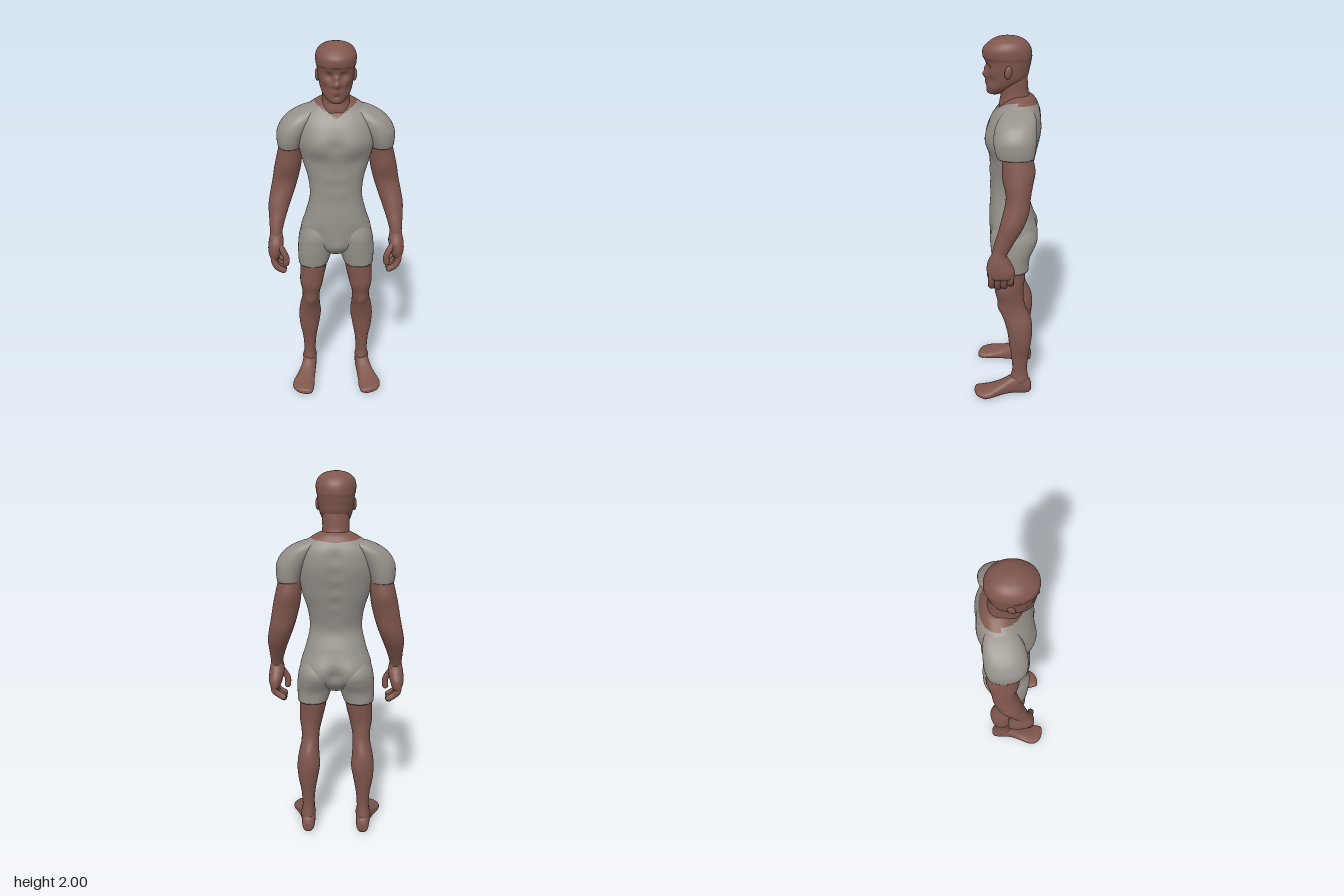
import * as THREE from 'three';

const skin = new THREE.MeshStandardMaterial({ color: 0x7f564d });
skin.name = 'brown skin';
const cloth = new THREE.MeshStandardMaterial({ color: 0x96918a });
cloth.name = 'grey cloth';

const catmull = (a, b, c, d, t) =>
  0.5 * (2 * b + (c - a) * t + (2 * a - 5 * b + 4 * c - d) * t * t + (3 * b - a - 3 * c + d) * t * t * t);

// Closed body from rounded cross-sections [position, xMin, xMax, bMin, bMax], ascending along
// y (b is z) or z (b is y). Bulges [x, y, z, radius, amount] push the surface along its normals.
function loft(sections, { side = 1, axis = 'y', n = 2.3, bulges = [], steps = 8, seg = 48 } = {}) {
  const S = sections.map(([p, x0, x1, b0, b1]) => (side < 0 ? [p, -x1, -x0, b0, b1] : [p, x0, x1, b0, b1]));
  const at = (i) => S[Math.max(0, Math.min(S.length - 1, i))];
  const rows = [];
  for (let i = 0; i < S.length - 1; i++)
    for (let k = 0; k < steps; k++)
      rows.push(S[i].map((_, c) => catmull(at(i - 1)[c], at(i)[c], at(i + 1)[c], at(i + 2)[c], k / steps)));
  rows.push(S[S.length - 1]);
  const pos = [], idx = [];
  const put = (p, x, b) => (axis === 'y' ? pos.push(x, p, b) : pos.push(x, b, p));
  const tri = (a, b, c) => (axis === 'y' ? idx.push(a, b, c) : idx.push(a, c, b));
  const round = (v) => Math.sign(v) * Math.abs(v) ** (2 / n);
  for (const [p, x0, x1, b0, b1] of rows)
    for (let j = 0; j < seg; j++) {
      const a = (j / seg) * Math.PI * 2;
      put(p, (x0 + x1) / 2 + ((x1 - x0) / 2) * round(Math.cos(a)), (b0 + b1) / 2 + ((b1 - b0) / 2) * round(Math.sin(a)));
    }
  const last = rows.length - 1, base = rows.length * seg;
  for (const r of [rows[0], rows[last]]) put(r[0], (r[1] + r[2]) / 2, (r[3] + r[4]) / 2);
  for (let j = 0; j < seg; j++) {
    const k = (j + 1) % seg;
    tri(base, j, k);
    for (let i = 0; i < last; i++) {
      const a = i * seg + j, b = i * seg + k;
      tri(a, a + seg, b);
      tri(b, a + seg, b + seg);
    }
    tri(base + 1, last * seg + k, last * seg + j);
  }
  const g = new THREE.BufferGeometry();
  g.setAttribute('position', new THREE.Float32BufferAttribute(pos, 3));
  g.setIndex(idx);
  g.computeVertexNormals();
  const P = g.attributes.position, N = g.attributes.normal;
  const v = new THREE.Vector3(), nn = new THREE.Vector3(), q = new THREE.Vector3();
  for (let i = 0; i < P.count; i++) {
    v.fromBufferAttribute(P, i);
    nn.fromBufferAttribute(N, i);
    let push = 0;
    for (const [x, y, z, r, amt] of bulges) push += amt * Math.exp(-v.distanceToSquared(q.set(x * side, y, z)) / (r * r));
    v.addScaledVector(nn, push);
    P.setXYZ(i, v.x, v.y, v.z);
  }
  g.computeVertexNormals();
  return g;
}

// Sort triangles into two material groups by a rule on their centres
function paint(g, rule) {
  const lists = [[], []], P = g.attributes.position, I = g.index.array;
  for (let i = 0; i < I.length; i += 3) {
    const t = [I[i], I[i + 1], I[i + 2]];
    const mid = (f) => (P[f](t[0]) + P[f](t[1]) + P[f](t[2])) / 3;
    lists[rule(mid('getX'), mid('getY'), mid('getZ')) ? 1 : 0].push(...t);
  }
  g.setIndex([...lists[0], ...lists[1]]);
  g.addGroup(0, lists[0].length, 0);
  g.addGroup(lists[0].length, lists[1].length, 1);
  return g;
}

const both = (list) => list.flatMap(([x, ...r]) => [[x, ...r], [-x, ...r]]);

export function createModel() {
  const model = new THREE.Group();
  model.name = 'standingMan';
  const add = (name, geo, mat = skin, parent = model) => {
    const m = new THREE.Mesh(geo, mat);
    m.name = name;
    parent.add(m);
    return m;
  };

  // Torso in a shirt, with an open neckline showing skin
  const spine = [1.2, 1.28, 1.36, 1.44, 1.52, 1.6].map((y) => [0, y, -0.15, 0.035, -0.01]);
  const torso = loft([
    [0.86, -0.06, 0.06, -0.08, 0.03], [0.9, -0.14, 0.14, -0.125, 0.065], [0.95, -0.185, 0.185, -0.152, 0.082],
    [1.01, -0.188, 0.188, -0.155, 0.09], [1.1, -0.16, 0.16, -0.135, 0.09], [1.2, -0.138, 0.138, -0.105, 0.083],
    [1.3, -0.146, 0.146, -0.125, 0.083], [1.4, -0.175, 0.175, -0.15, 0.088], [1.5, -0.198, 0.198, -0.165, 0.1],
    [1.58, -0.2, 0.2, -0.17, 0.085], [1.63, -0.185, 0.185, -0.168, 0.058], [1.67, -0.145, 0.145, -0.155, 0.025],
    [1.7, -0.1, 0.1, -0.138, 0], [1.715, -0.07, 0.07, -0.12, -0.02],
  ], {
    seg: 96, steps: 10,
    bulges: [...spine, ...both([
      [0.085, 1.5, 0.1, 0.07, 0.013], [0.08, 0.985, -0.15, 0.065, 0.018], [0.08, 1.55, -0.17, 0.08, 0.01],
      [0.035, 1.32, 0.085, 0.03, 0.004], [0.035, 1.24, 0.085, 0.03, 0.004], [0.1, 1.41, 0.08, 0.05, -0.006],
      [0.1, 1.0, 0.08, 0.04, -0.006],
    ]), [0, 1.5, 0.1, 0.03, -0.008], [0, 0.97, -0.155, 0.035, -0.02], [0, 0.92, 0.08, 0.04, 0.012]],
  });
  paint(torso, (x, y, z) => y > (z > -0.06 ? 1.632 + 0.58 * Math.abs(x) : 1.672 + 0.1 * Math.abs(x)));
  add('torso', torso, [cloth, skin]);

  // Neck
  add('neck', loft([
    [1.6, -0.08, 0.08, -0.13, 0.03], [1.67, -0.078, 0.078, -0.135, 0.035], [1.72, -0.068, 0.068, -0.112, 0.03],
    [1.78, -0.068, 0.068, -0.105, 0.04], [1.83, -0.065, 0.065, -0.1, 0.04],
  ], { bulges: both([[0.03, 1.66, 0.04, 0.02, 0.006]]) }));

  // Head with a fringe of hair over the brow
  const head = new THREE.Group();
  head.name = 'head';
  model.add(head);
  add('skull', loft([
    [1.718, -0.025, 0.025, 0.035, 0.08], [1.728, -0.042, 0.042, 0.01, 0.093], [1.76, -0.068, 0.068, -0.05, 0.098],
    [1.8, -0.082, 0.082, -0.1, 0.1], [1.85, -0.09, 0.09, -0.115, 0.098], [1.885, -0.094, 0.094, -0.122, 0.104],
    [1.905, -0.099, 0.099, -0.125, 0.116], [1.94, -0.099, 0.099, -0.12, 0.114], [1.97, -0.085, 0.085, -0.1, 0.085],
    [1.99, -0.055, 0.055, -0.066, 0.05], [2.0, -0.012, 0.012, -0.02, 0.01],
  ], {
    seg: 96, n: 2.15,
    bulges: [[0, 1.815, 0.102, 0.017, 0.02], [0, 1.845, 0.1, 0.013, 0.012], [0, 1.776, 0.1, 0.018, 0.007],
      [0, 1.735, 0.09, 0.02, 0.005], [0, 1.757, 0.098, 0.009, -0.006],
      ...both([[0.036, 1.855, 0.09, 0.02, -0.012], [0.035, 1.88, 0.098, 0.014, 0.006],
        [0.06, 1.79, 0.07, 0.028, -0.007], [0.06, 1.83, 0.075, 0.02, 0.004], [0.022, 1.795, 0.1, 0.01, -0.004]])],
  }), skin, head);

  for (const side of [1, -1]) {
    const s = side > 0 ? 'left' : 'right';
    const arm = new THREE.Group(), leg = new THREE.Group();
    arm.name = s + 'Arm';
    leg.name = s + 'Leg';
    model.add(arm, leg);

    // Ear
    const ear = add(s + 'Ear', new THREE.SphereGeometry(1, 16, 12), skin, head);
    ear.scale.set(0.011, 0.032, 0.019);
    ear.position.set(0.091 * side, 1.84, -0.012);
    ear.rotation.set(-0.2, 0.3 * side, 0);

    // Sleeve over the shoulder
    add(s + 'Sleeve', loft([
      [1.463, 0.178, 0.298, -0.142, 0.038], [1.5, 0.165, 0.303, -0.148, 0.05], [1.55, 0.14, 0.3, -0.152, 0.056],
      [1.6, 0.11, 0.273, -0.152, 0.048], [1.635, 0.09, 0.232, -0.148, 0.03], [1.66, 0.08, 0.18, -0.135, 0.005],
      [1.675, 0.08, 0.13, -0.11, -0.03],
    ], { side, n: 2.2 }), cloth, arm);

    // Bare arm
    add(s + 'BareArm', loft([
      [0.96, 0.29, 0.352, -0.005, 0.065], [1.0, 0.288, 0.354, -0.022, 0.06], [1.06, 0.272, 0.357, -0.055, 0.045],
      [1.13, 0.248, 0.358, -0.095, 0.022], [1.2, 0.222, 0.348, -0.12, 0.005], [1.27, 0.2, 0.334, -0.128, -0.005],
      [1.34, 0.183, 0.322, -0.137, 0.005], [1.41, 0.175, 0.306, -0.142, 0.012], [1.5, 0.175, 0.285, -0.13, 0.02],
    ], {
      side, n: 2.1,
      bulges: [[0.25, 1.37, 0.01, 0.05, 0.006], [0.25, 1.39, -0.14, 0.05, 0.006], [0.33, 1.16, 0, 0.05, 0.005]],
    }), skin, arm);

    // Hand: palm, curled fingers and thumb
    add(s + 'Palm', loft([
      [0.848, 0.308, 0.354, -0.045, 0.07], [0.865, 0.3, 0.364, -0.052, 0.082], [0.9, 0.29, 0.368, -0.05, 0.09],
      [0.94, 0.283, 0.364, -0.03, 0.085], [0.98, 0.288, 0.356, -0.01, 0.066], [1.02, 0.295, 0.35, -0.02, 0.05],
    ], { side }), skin, arm);
    const finger = (name, pts, r) => {
      const v = pts.map(([x, y, z]) => new THREE.Vector3(x * side, y, z));
      add(name, new THREE.TubeGeometry(new THREE.CatmullRomCurve3(v), 14, r, 12), skin, arm);
      add(name + 'Tip', new THREE.SphereGeometry(r, 12, 10), skin, arm).position.copy(v[v.length - 1]);
    };
    [-0.034, -0.002, 0.03, 0.062].forEach((z, i) => {
      const d = [0.02, 0.004, 0, 0.006][i];
      finger(s + 'Finger' + (i + 1), [[0.337, 0.88, z], [0.335, 0.835, z + 0.004], [0.318, 0.798 + d, z + 0.006], [0.288, 0.778 + d, z + 0.004]], 0.0175);
    });
    finger(s + 'Thumb', [[0.31, 0.94, 0.06], [0.284, 0.9, 0.072], [0.27, 0.865, 0.076], [0.272, 0.83, 0.074]], 0.017);

    // Leg of the shorts
    add(s + 'ShortsLeg', loft([
      [0.795, 0.044, 0.206, -0.122, 0.066], [0.86, 0.022, 0.208, -0.128, 0.074], [0.92, 0.01, 0.205, -0.148, 0.08],
      [0.98, 0.01, 0.194, -0.155, 0.082], [1.05, 0.03, 0.165, -0.12, 0.06],
    ], { side, bulges: [[0.085, 0.96, -0.15, 0.06, 0.012]] }), cloth, leg);

    // Bare leg
    add(s + 'BareLeg', loft([
      [0.03, 0.125, 0.19, -0.135, -0.03], [0.09, 0.12, 0.193, -0.132, -0.025], [0.16, 0.121, 0.188, -0.122, -0.038],
      [0.25, 0.114, 0.194, -0.128, -0.032], [0.33, 0.1, 0.208, -0.14, -0.02], [0.41, 0.09, 0.213, -0.146, -0.01],
      [0.48, 0.092, 0.205, -0.142, 0.008], [0.54, 0.093, 0.192, -0.125, 0.03], [0.6, 0.09, 0.19, -0.103, 0.042],
      [0.67, 0.075, 0.198, -0.096, 0.056], [0.75, 0.056, 0.198, -0.104, 0.062], [0.85, 0.04, 0.195, -0.115, 0.062],
    ], {
      side, n: 2.1,
      bulges: [[0.14, 0.565, 0.035, 0.03, 0.008], [0.1, 0.66, 0.03, 0.04, 0.006], [0.185, 0.68, 0.03, 0.05, 0.005],
        [0.105, 0.42, -0.12, 0.05, 0.006], [0.15, 0.56, -0.12, 0.04, -0.006], [0.12, 0.11, -0.08, 0.02, 0.006],
        [0.192, 0.1, -0.085, 0.02, 0.006]],
    }), skin, leg);

    // Foot, turned slightly outward
    add(s + 'Foot', loft([
      [-0.146, 0.14, 0.172, 0.02, 0.06], [-0.13, 0.122, 0.188, 0.002, 0.095], [-0.08, 0.117, 0.196, 0, 0.125],
      [-0.03, 0.12, 0.204, 0.002, 0.112], [0.02, 0.125, 0.222, 0.003, 0.083], [0.08, 0.13, 0.25, 0.002, 0.06],
      [0.12, 0.131, 0.254, 0.002, 0.049], [0.155, 0.137, 0.235, 0.004, 0.044], [0.172, 0.145, 0.205, 0.008, 0.038],
      [0.178, 0.155, 0.185, 0.015, 0.03],
    ], { side, axis: 'z', n: 2.4 }), skin, leg);
    // Toes
    [0.154, 0.18, 0.201, 0.221, 0.239].forEach((x, i) => {
      const toe = add(s + 'Toe' + (i + 1), new THREE.SphereGeometry(1, 14, 10), skin, leg);
      const r = i ? 0.0125 : 0.017;
      toe.scale.set(r, r * 1.05, 0.026);
      toe.position.set(x * side, r + 0.006, [0.152, 0.148, 0.138, 0.126, 0.112][i]);
    });
  }
  return model;
}
